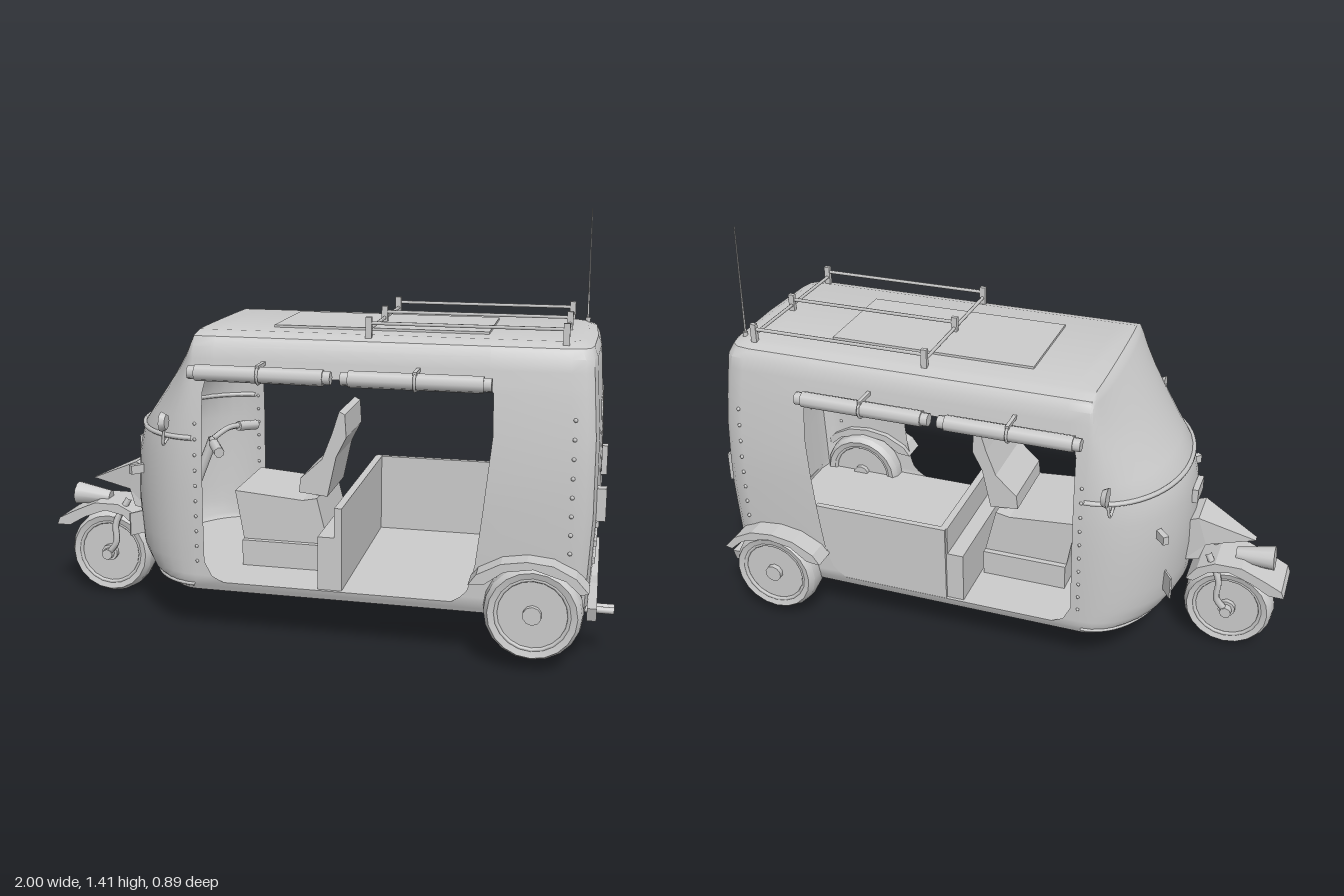
import * as THREE from 'three';
import { toCreasedNormals } from 'three/addons/utils/BufferGeometryUtils.js';

const V = (x, y, z) => new THREE.Vector3(x, y, z);
const grey = new THREE.MeshStandardMaterial({ color: 0xcccccc });
const thin = new THREE.MeshStandardMaterial({ color: 0xcccccc, side: THREE.DoubleSide });

// Linear lookup in a small table of [y, value] pairs
function look(table, y) {
  for (let i = 1; i < table.length; i++) {
    const [y0, a] = table[i - 1], [y1, b] = table[i];
    if (y <= y1) return a + (b - a) * Math.max(0, (y - y0) / (y1 - y0));
  }
  return table[table.length - 1][1];
}

// Body profile by height: half width, nose tip, tail, and door opening edges
const width = [[0.165, 0.35], [0.2, 0.366], [0.4, 0.372], [0.62, 0.373], [0.8, 0.36], [0.9, 0.347], [0.99, 0.332], [1.02, 0.312], [1.035, 0.26]];
const nose = [[0.165, -0.54], [0.19, -0.61], [0.26, -0.655], [0.45, -0.672], [0.6, -0.66], [0.69, -0.637], [1.02, -0.395], [1.035, -0.375]];
const tail = [[0.165, 0.905], [0.2, 0.915], [0.5, 0.93], [0.75, 0.928], [0.99, 0.912], [1.02, 0.9], [1.035, 0.87]];
const doorFront = [[0.2, -0.27], [0.22, -0.31], [0.27, -0.335], [0.84, -0.335], [0.88, -0.325], [0.9, -0.3]];
const doorRear = [[0.2, 0.49], [0.23, 0.535], [0.3, 0.56], [0.5, 0.583], [0.75, 0.608], [0.88, 0.604], [0.9, 0.59]];
const levels = [0.165, 0.18, 0.2, 0.22, 0.24, 0.27, 0.33, 0.42, 0.5, 0.6, 0.69, 0.75, 0.84, 0.88, 0.9, 0.95, 0.99, 1.01, 1.02, 1.029, 1.035];
const noseSegs = 10;

// Plan outline of the +z half at height y, from nose tip to tail centre
function halfRing(y) {
  const w = look(width, y), f = look(nose, y), b = look(tail, y), s = -0.37, pts = [];
  for (let i = 0; i <= noseSegs; i++) {
    const t = (i / noseSegs) * Math.PI / 2;
    pts.push(V(Math.min(s, s - (s - f) * Math.cos(t)), y, w * Math.sin(t)));
  }
  pts.push(V(look(doorFront, y), y, w), V(look(doorRear, y), y, w));
  pts.push(V(b - 0.08, y, w), V(b - 0.035, y, w - 0.007), V(b - 0.01, y, w - 0.03), V(b, y, w - 0.075), V(b + 0.008, y, 0));
  return pts;
}
const mirror = p => V(p.x, p.y, -p.z);

function bodyGeometry() {
  const pos = [];
  const quad = (a, b, c, d) => [a, b, c, a, c, d].forEach(p => pos.push(p.x, p.y, p.z));
  const rings = levels.map(halfRing);
  for (let k = 0; k < rings.length - 1; k++) {
    const lo = rings[k], hi = rings[k + 1];
    for (let j = 0; j < lo.length - 1; j++) {
      // leave the doorways open
      if (j === noseSegs + 1 && levels[k] >= 0.2 && levels[k + 1] <= 0.9) continue;
      quad(lo[j], lo[j + 1], hi[j + 1], hi[j]);
      quad(mirror(lo[j + 1]), mirror(lo[j]), mirror(hi[j]), mirror(hi[j + 1]));
    }
  }
  // roof, cabin floor and underside
  const cap = (r, up) => {
    for (let j = 0; j < r.length - 1; j++) {
      const q = [r[j], r[j + 1], mirror(r[j + 1]), mirror(r[j])];
      quad(...(up ? q : q.reverse()));
    }
  };
  cap(rings[rings.length - 1], true);
  cap(rings[2], true);
  cap(rings[0], false);
  const g = new THREE.BufferGeometry();
  g.setAttribute('position', new THREE.Float32BufferAttribute(pos, 3));
  return toCreasedNormals(g, 0.6);
}

export function createModel() {
  const model = new THREE.Group();
  const add = (name, geo, x = 0, y = 0, z = 0, mat = grey, parent = model) => {
    const m = new THREE.Mesh(geo, mat);
    m.name = name;
    m.position.set(x, y, z);
    parent.add(m);
    return m;
  };
  const box = (name, w, h, d, x, y, z) => add(name, new THREE.BoxGeometry(w, h, d), x, y, z);
  const rod = (name, a, b, r, sides = 8, r2 = r) => {
    const m = add(name, new THREE.CylinderGeometry(r2, r, a.distanceTo(b), sides));
    m.position.copy(a).add(b).multiplyScalar(0.5);
    m.quaternion.setFromUnitVectors(V(0, 1, 0), b.clone().sub(a).normalize());
    return m;
  };
  const tube = (name, pts, r) => add(name, new THREE.TubeGeometry(new THREE.CatmullRomCurve3(pts), 40, r, 6));
  // side outline in x and y, given thickness from z0 to z1
  const slab = (name, pts, z0, z1) => {
    const shape = new THREE.Shape(pts.map(p => new THREE.Vector2(...p)));
    return add(name, new THREE.ExtrudeGeometry(shape, { depth: z1 - z0, bevelEnabled: false }), 0, 0, z0);
  };
  const sides = [1, -1];

  add('bodyShell', bodyGeometry(), 0, 0, 0, thin);

  // Trim below the windscreen and around the lower nose
  for (const [name, y, r] of [['windscreenTrim', 0.69, 0.009], ['noseSkirtTrim', 0.185, 0.007]]) {
    const h = halfRing(y).slice(0, noseSegs + 1);
    tube(name, [...h.slice(1).reverse(), ...h.map(mirror)], r);
  }

  // Wheels: bevelled tyre, recessed disc, rim ring and hub
  const tyre = [[0.115, -0.05], [0.14, -0.057], [0.153, -0.035], [0.157, 0], [0.153, 0.035], [0.14, 0.057], [0.115, 0.05]].map(p => new THREE.Vector2(...p));
  const wheel = (name, x, y, z) => {
    const g = new THREE.Group();
    g.name = name;
    g.position.set(x, y, z);
    g.rotation.x = Math.PI / 2;
    model.add(g);
    add('tyre', toCreasedNormals(new THREE.LatheGeometry(tyre, 20), 0.4), 0, 0, 0, thin, g);
    add('disc', new THREE.CylinderGeometry(0.118, 0.118, 0.085, 20), 0, 0, 0, grey, g);
    add('hub', new THREE.CylinderGeometry(0.03, 0.03, 0.12, 10), 0, 0, 0, grey, g);
    for (const s of sides) {
      add('rim', new THREE.TorusGeometry(0.116, 0.007, 6, 20), 0, s * 0.046, 0, grey, g).rotation.x = Math.PI / 2;
    }
  };
  wheel('frontWheel', -0.81, 0.16, 0);
  for (const s of sides) wheel('rearWheel', 0.75, 0.197, s * 0.368);

  // Mudguards
  const arch = [[0.55, 0.29], [0.575, 0.325], [0.65, 0.365], [0.73, 0.378], [0.81, 0.37], [0.88, 0.335], [0.92, 0.29], [0.895, 0.285], [0.85, 0.325], [0.75, 0.355], [0.66, 0.34], [0.6, 0.295]];
  for (const s of sides) slab('rearMudguard', arch, s > 0 ? 0.35 : -0.445, s > 0 ? 0.445 : -0.35);
  slab('frontMudguard', [[-1, 0.265], [-0.99, 0.29], [-0.93, 0.32], [-0.85, 0.355], [-0.76, 0.355], [-0.7, 0.325], [-0.665, 0.275], [-0.69, 0.27], [-0.74, 0.315], [-0.81, 0.33], [-0.89, 0.3], [-0.95, 0.265]], -0.085, 0.085);

  // Headlamp, pointed cowl and fork
  rod('headlamp', V(-0.82, 0.355, 0), V(-0.95, 0.365, 0), 0.025, 12, 0.042);
  const cowl = slab('forkCowl', [[-0.88, 0.43], [-0.69, 0.515], [-0.65, 0.5], [-0.65, 0.34], [-0.7, 0.35], [-0.72, 0.41]], -0.07, 0.07);
  const cp = cowl.geometry.attributes.position;
  for (let i = 0; i < cp.count; i++) {
    const k = THREE.MathUtils.clamp((cp.getX(i) + 0.92) / 0.23, 0.15, 1);
    cp.setZ(i, 0.07 + (cp.getZ(i) - 0.07) * k);
  }
  cowl.geometry.computeVertexNormals();
  for (const s of sides) {
    tube('forkLeg', [V(-0.81, 0.16, s * 0.07), V(-0.775, 0.21, s * 0.075), V(-0.775, 0.28, s * 0.07), V(-0.73, 0.37, s * 0.05)], 0.012);
  }
  rod('frontAxle', V(-0.81, 0.16, -0.085), V(-0.81, 0.16, 0.085), 0.02);

  // Nose fittings: indicators, panels and mirrors
  for (const s of sides) {
    const lamp = box('indicator', 0.085, 0.03, 0.02, -0.595, 0.545, s * 0.25);
    lamp.rotation.y = s * 0.85;
    const plate = box('nosePanel', 0.1, 0.08, 0.006, -0.615, 0.34, s * 0.21);
    plate.rotation.y = s * 0.96;
    tube('mirrorStem', [V(-0.46, 0.68, s * 0.35), V(-0.46, 0.67, s * 0.39), V(-0.45, 0.74, s * 0.4)], 0.005);
    const glass = add('mirrorHead', new THREE.CylinderGeometry(0.034, 0.025, 0.018, 8), -0.447, 0.75, s * 0.41);
    glass.rotation.z = Math.PI / 2;
    // rivet lines on the pillars
    for (let i = 0; i < 10; i++) {
      const yf = 0.27 + i * 0.052, yr = 0.27 + i * 0.06;
      add('pillarRivet', new THREE.SphereGeometry(0.006, 6, 4), -0.36, yf, s * look(width, yf));
      add('rearRivet', new THREE.SphereGeometry(0.007, 6, 4), 0.855, yr, s * look(width, yr));
    }
    // tube lamps above the doorways
    for (const x of [-0.13, 0.37]) {
      rod('sideLamp', V(x - 0.21, 0.915, s * 0.4), V(x + 0.21, 0.915, s * 0.4), 0.027, 8);
      for (const e of [-0.222, 0.222]) rod('lampCap', V(x + e - 0.012, 0.915, s * 0.4), V(x + e + 0.012, 0.915, s * 0.4), 0.022, 8);
      box('lampBracket', 0.012, 0.012, 0.085, x, 0.942, s * 0.375);
      add('lampClamp', new THREE.TorusGeometry(0.029, 0.005, 5, 10), x, 0.915, s * 0.4).rotation.y = Math.PI / 2;
    }
  }
  box('noseVent', 0.02, 0.05, 0.1, -0.668, 0.585, 0);

  // Roof: hatch panel, luggage rack and aerial
  box('roofHatch', 0.71, 0.014, 0.35, 0.215, 1.036, -0.005);
  for (const z of [-0.27, 0, 0.28]) {
    for (const x of [0.2, 0.815]) box('rackPost', 0.02, 0.068, 0.016, x, 1.06, z);
    rod('rackRail', V(0.2, 1.075, z), V(0.815, 1.075, z), 0.006, 6);
  }
  for (const x of [0.2, 0.815]) rod('rackCrossRail', V(x, 1.055, -0.27), V(x, 1.055, 0.28), 0.006, 6);
  rod('aerial', V(0.868, 1.02, -0.24), V(0.866, 1.415, -0.237), 0.004, 6, 0.002);
  rod('aerialBase', V(0.868, 1.02, -0.24), V(0.868, 1.045, -0.24), 0.009);

  // Rear: window frame, lamps, louvres, bumper and exhaust
  const frame = new THREE.CatmullRomCurve3([[-0.14, 0.6], [0.14, 0.6], [0.16, 0.63], [0.15, 0.8], [0.13, 0.83], [-0.13, 0.83], [-0.15, 0.8], [-0.16, 0.63]].map(([z, y]) => V(look(tail, y) + 0.006, y, z)), true, 'catmullrom', 0.1);
  add('rearWindowFrame', new THREE.TubeGeometry(frame, 48, 0.004, 5, true));
  for (const s of sides) {
    box('tailLamp', 0.03, 0.105, 0.036, 0.943, 0.533, s * 0.285);
    for (const [y, h] of [[0.49, 0.026], [0.43, 0.024], [0.365, 0.02], [0.307, 0.018]]) {
      box('louvre', 0.014, h, 0.165, look(tail, y) + 0.005, y, s * 0.092);
    }
    const bumper = new THREE.Shape([[0, 0.165], [0.35, 0.168], [0.366, 0.215], [0.12, 0.212], [0, 0.195]].map(([z, y]) => new THREE.Vector2(s * z, y)));
    const b = add('rearBumper', new THREE.ExtrudeGeometry(bumper, { depth: 0.03, bevelEnabled: false }), 0.945, 0, 0);
    b.rotation.y = -Math.PI / 2;
  }
  for (const z of [0.21, 0.24]) rod('exhaustPipe', V(0.86, 0.165, z), V(1, 0.165, z), 0.011, 10);

  // Cabin: driver's seat, steps, partition, side panel and handlebar
  box('seatBase', 0.3, 0.09, 0.36, -0.11, 0.245, 0);
  slab('seatCushion', [[-0.29, 0.46], [-0.05, 0.44], [0, 0.45], [0.04, 0.29], [-0.26, 0.29]], -0.16, 0.16);
  slab('seatBack', [[-0.07, 0.46], [-0.065, 0.51], [0.01, 0.58], [0.045, 0.67], [0.07, 0.75], [0.09, 0.74], [0.095, 0.66], [0.06, 0.59], [0.03, 0.45]], -0.13, 0.13);
  slab('partition', [[0.05, 0.2], [0.05, 0.38], [0.105, 0.38], [0.105, 0.48], [0.13, 0.48], [0.13, 0.2]], -0.355, 0.355);
  box('sidePanel', 0.48, 0.28, 0.02, 0.35, 0.34, -0.355);
  rod('steeringColumn', V(-0.56, 0.25, 0), V(-0.42, 0.6, 0), 0.018);
  tube('handlebar', [V(-0.34, 0.61, -0.2), V(-0.39, 0.62, -0.1), V(-0.42, 0.6, 0), V(-0.39, 0.62, 0.1), V(-0.34, 0.61, 0.2)], 0.011);
  for (const s of sides) rod('handGrip', V(-0.37, 0.617, s * 0.14), V(-0.325, 0.607, s * 0.22), 0.018);
  return model;
}
